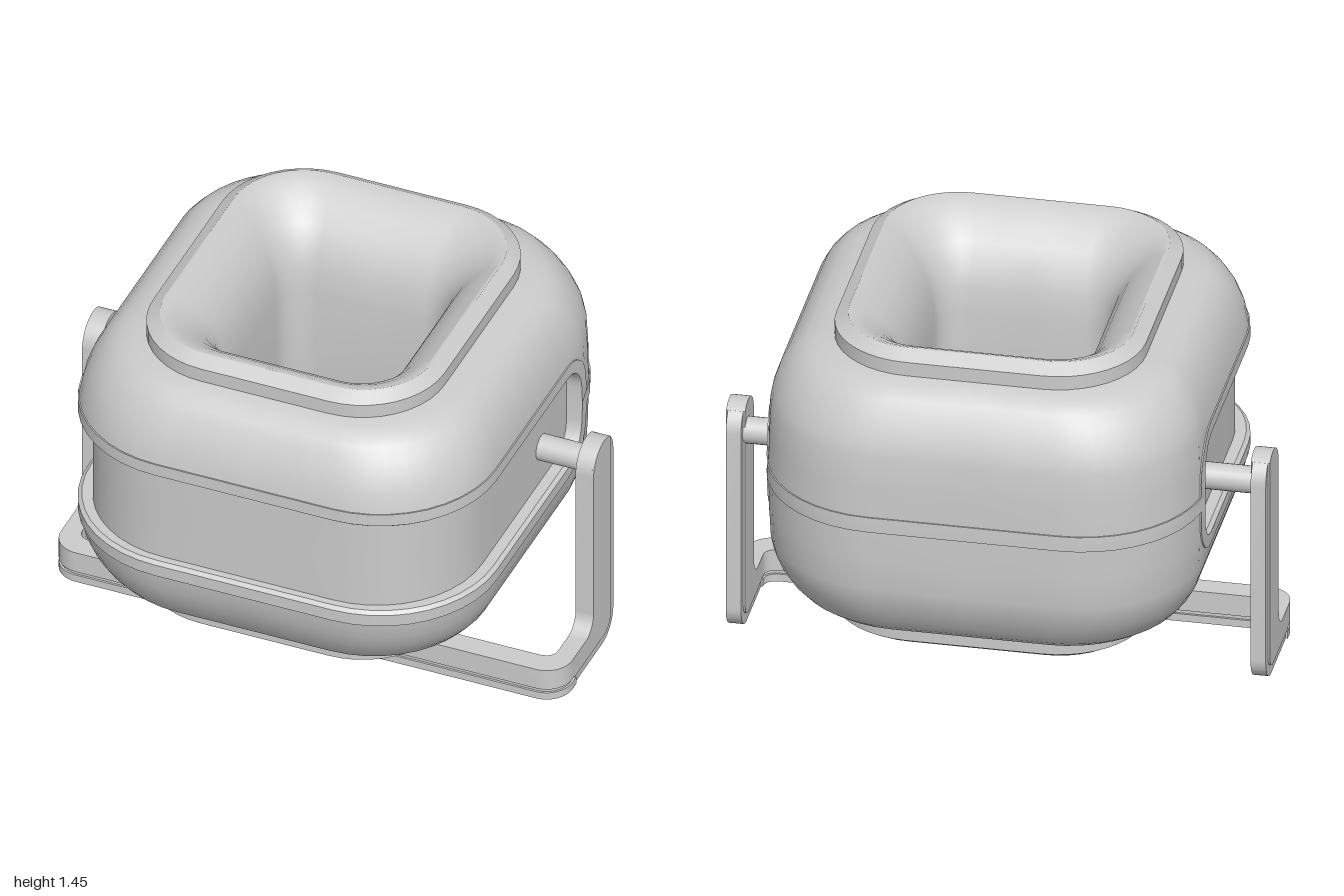
import * as THREE from 'three';
import { toCreasedNormals } from 'three/addons/utils/BufferGeometryUtils.js';

const MID = 0.84; // height of the body's middle plane
const CORNER = 0.45; // corner radius at the middle plane
const CORNER_Z = 0.385; // depth at which the corners begin
const material = new THREE.MeshStandardMaterial({ color: 0xcccccc });

// Outer body profile: [height above middle, half width, half depth, corner radius]
const SHELL = [
  [0, 0.8, 0.835, CORNER], [0.25, 0.795, 0.832, CORNER], [0.32, 0.783, 0.817, 0.445],
  [0.38, 0.763, 0.793, 0.435], [0.43, 0.737, 0.765, 0.42], [0.47, 0.705, 0.737, 0.405],
  [0.497, 0.668, 0.703, 0.38], [0.512, 0.62, 0.667, 0.35], [0.52, 0.565, 0.632, 0.315],
];
// Collar, then the flared opening down to the middle plane
const COLLAR = [
  [0.515, 0.57, 0.64, 0.32], [0.573, 0.57, 0.64, 0.32], [0.605, 0.522, 0.588, 0.27],
  [0.605, 0.512, 0.577, 0.26], [0.582, 0.475, 0.53, 0.235], [0.545, 0.43, 0.477, 0.205],
  [0.495, 0.388, 0.425, 0.175], [0.43, 0.353, 0.38, 0.145], [0.35, 0.33, 0.353, 0.12],
  [0.25, 0.32, 0.34, 0.11], [0, 0.32, 0.34, 0.11],
];

// Point on the right half of a rounded rectangle; t runs front (0) to back (5)
function ringPoint(t, y, hx, hz, r) {
  const cx = hx - r, cz = hz - r;
  if (t <= 1) return [cx * t, y, hz];
  if (t >= 4) return [cx * (5 - t), y, -hz];
  if (t >= 2 && t <= 3) return [hx, y, cz * (5 - 2 * t)];
  const front = t < 2;
  const a = (front ? 2 - t : t - 3) * Math.PI / 2;
  return [cx + r * Math.cos(a), y, (front ? 1 : -1) * (cz + r * Math.sin(a))];
}

// Point on the outer body at height y, sunk inward by inset
function bodyPoint(t, y, inset = 0) {
  let i = 1;
  while (i < SHELL.length - 1 && SHELL[i][0] < y) i++;
  const a = SHELL[i - 1], b = SHELL[i], f = (y - a[0]) / (b[0] - a[0]);
  const [hx, hz, r] = [1, 2, 3].map((k) => a[k] + (b[k] - a[k]) * f - inset);
  return ringPoint(t, y, hx, hz, r);
}

// Skin over rows of points, mirrored left-right and top-bottom
function mirroredSkin(name, rows) {
  const pos = [], index = [], n = rows[0].length;
  for (const sx of [1, -1]) for (const sy of [1, -1]) {
    const base = pos.length / 3;
    for (const row of rows) for (const p of row) pos.push(p[0] * sx, MID + p[1] * sy, p[2]);
    for (let j = 0; j < rows.length - 1; j++) for (let i = 0; i < n - 1; i++) {
      const a = base + j * n + i, b = a + 1, c = a + n, d = c + 1;
      if (sx * sy > 0) index.push(a, b, d, a, d, c);
      else index.push(a, d, b, a, c, d);
    }
  }
  const g = new THREE.BufferGeometry();
  g.setAttribute('position', new THREE.Float32BufferAttribute(pos, 3));
  g.setIndex(index);
  return part(name, toCreasedNormals(g, 0.55));
}

function part(name, geometry) {
  const mesh = new THREE.Mesh(geometry, material);
  mesh.name = name;
  return mesh;
}

// Perimeter position of a given depth on the side wall
const tOfZ = (z) => z > -CORNER_Z ? 2 + (CORNER_Z - z) / (2 * CORNER_Z)
  : 3 + Math.asin((-z - CORNER_Z) / CORNER) / (Math.PI / 2);

// Side bracket outline in (z, y); cut trims the back and bottom edges
function bracketShape(cut) {
  const s = new THREE.Shape(), r = 0.1 - cut;
  s.moveTo(0.13, cut);
  s.lineTo(0.13, 0.13);
  s.lineTo(0.03, 0.13);
  s.absarc(0.03, 0.2, 0.07, -Math.PI / 2, -Math.PI, true);
  s.lineTo(-0.04, 0.815);
  s.absarc(-0.14, 0.815, 0.1, 0, Math.acos(-r / 0.1), false);
  s.lineTo(-0.24 + cut, 0.1);
  s.absarc(-0.14, 0.1, r, Math.PI, Math.PI * 1.5, false);
  return s;
}

// Front bar outline in (x, -z), shrunk by cut
function barShape(cut) {
  const s = new THREE.Shape(), x = 1 - cut, f = -0.257 + cut, b = -0.17 - cut, i = 0.93 + cut;
  s.moveTo(-x, -0.12);
  s.lineTo(-x, -0.157);
  s.absarc(-0.9, -0.157, 0.1 - cut, Math.PI, Math.PI * 1.5, false);
  s.lineTo(0.9, f);
  s.absarc(0.9, -0.157, 0.1 - cut, -Math.PI / 2, 0, false);
  s.lineTo(x, -0.12);
  s.lineTo(i, -0.12);
  s.quadraticCurveTo(i, b, 0.87, b);
  s.lineTo(-0.87, b);
  s.quadraticCurveTo(-i, b, -i, -0.12);
  return s;
}

export function createModel() {
  const model = new THREE.Group();
  model.name = 'tiltingRingOnBracket';

  // Column positions around the body
  const cols = [0, 0.5];
  for (let i = 0; i <= 10; i++) cols.push(1 + i / 10);
  cols.push(2.3, 2.6);
  const backCols = [];
  const tEnd = tOfZ(-0.45);
  for (let i = 0; i <= 9; i++) backCols.push(tEnd + (4 - tEnd) * i / 9);
  backCols.push(4.5, 5);

  // Outer and inner edge of the trim: along the window, round its end, along the rear seam
  const outer = cols.map((t) => [t, 0.25]);
  const inner = cols.map((t) => [t, 0.19]);
  for (let k = 0; k <= 8; k++) {
    const a = k / 8 * Math.PI / 2, s = Math.sin(a), c = Math.cos(a);
    outer.push([tOfZ(-0.28 - 0.17 * s), 0.08 + 0.17 * c]);
    inner.push([tOfZ(-0.28 - 0.12 * s), 0.07 + 0.12 * c]);
  }
  outer.push([tEnd, 0.03]);
  inner.push([tOfZ(-0.4), 0]);
  for (const t of backCols.slice(1)) {
    outer.push([t, 0.03]);
    inner.push([t, 0]);
  }

  // Upper and lower shells
  const shellRows = [
    outer.map(([t, y]) => bodyPoint(t, y, 0.03)),
    outer.map(([t, y]) => bodyPoint(t, y)),
    outer.map(([t, y]) => bodyPoint(t, (y + 0.27) / 2)),
    outer.map(([t]) => bodyPoint(t, 0.27)),
  ];
  for (const [y, ...size] of SHELL.slice(2)) {
    shellRows.push(outer.map(([t]) => ringPoint(t, y, ...size)));
  }
  model.add(mirroredSkin('shell', shellRows));

  // Trim lip with a chamfered window edge, closing to a plain band at the rear
  model.add(mirroredSkin('windowTrim', [
    inner.map(([t, y]) => bodyPoint(t, y, 0.065)),
    inner.map(([t, y]) => bodyPoint(t, y, y > 0 ? 0.01 : -0.005)),
    inner.map(([t, y], i) => bodyPoint(t, y + (outer[i][1] - y) * 0.2, -0.005)),
    outer.map(([t, y]) => bodyPoint(t, y, -0.005)),
    outer.map(([t, y]) => bodyPoint(t, y, 0.03)),
  ]));

  // Recessed panel behind the window
  const allCols = [...cols, 3, ...Array.from({ length: 10 }, (_, i) => 3.1 + i / 10), 5];
  model.add(mirroredSkin('recessedPanel',
    [0, 0.27].map((y) => allCols.map((t) => ringPoint(t, y, 0.745, 0.795, 0.41)))));

  // Collars and the flared opening through the middle
  model.add(mirroredSkin('collarAndOpening',
    COLLAR.map(([y, ...size]) => allCols.map((t) => ringPoint(t, y, ...size)))));

  // Stand: grooved front bar and two side brackets with a stepped edge strip
  const stand = new THREE.Group();
  stand.name = 'stand';
  for (const [cut, bottom, top, label] of [
    [0, 0.045, 0.13, 'frontBar'], [0.008, 0.03, 0.045, 'frontBarGroove'], [0, 0, 0.03, 'frontBarBase'],
  ]) {
    const g = new THREE.ExtrudeGeometry(barShape(cut), { depth: top - bottom, bevelEnabled: false, curveSegments: 8 });
    g.rotateX(-Math.PI / 2).translate(0, bottom, 0);
    stand.add(part(label, toCreasedNormals(g, 0.6)));
  }
  for (const side of [1, -1]) {
    for (const [cut, depth, label] of [[0.04, 0.07, 'sideBracket'], [0, 0.056, 'sideBracketEdge']]) {
      const g = new THREE.ExtrudeGeometry(bracketShape(cut), { depth, bevelEnabled: false, curveSegments: 10 });
      g.rotateY(-Math.PI / 2).translate(side * 0.965 + depth / 2, 0, 0);
      stand.add(part(label, toCreasedNormals(g, 0.6)));
    }
    // Pivot pin
    const pin = part('pivotPin', new THREE.CylinderGeometry(0.05, 0.05, 0.22, 24));
    pin.rotation.z = Math.PI / 2;
    pin.position.set(side * 0.84, 0.8, -0.16);
    stand.add(pin);
  }
  model.add(stand);
  return model;
}
